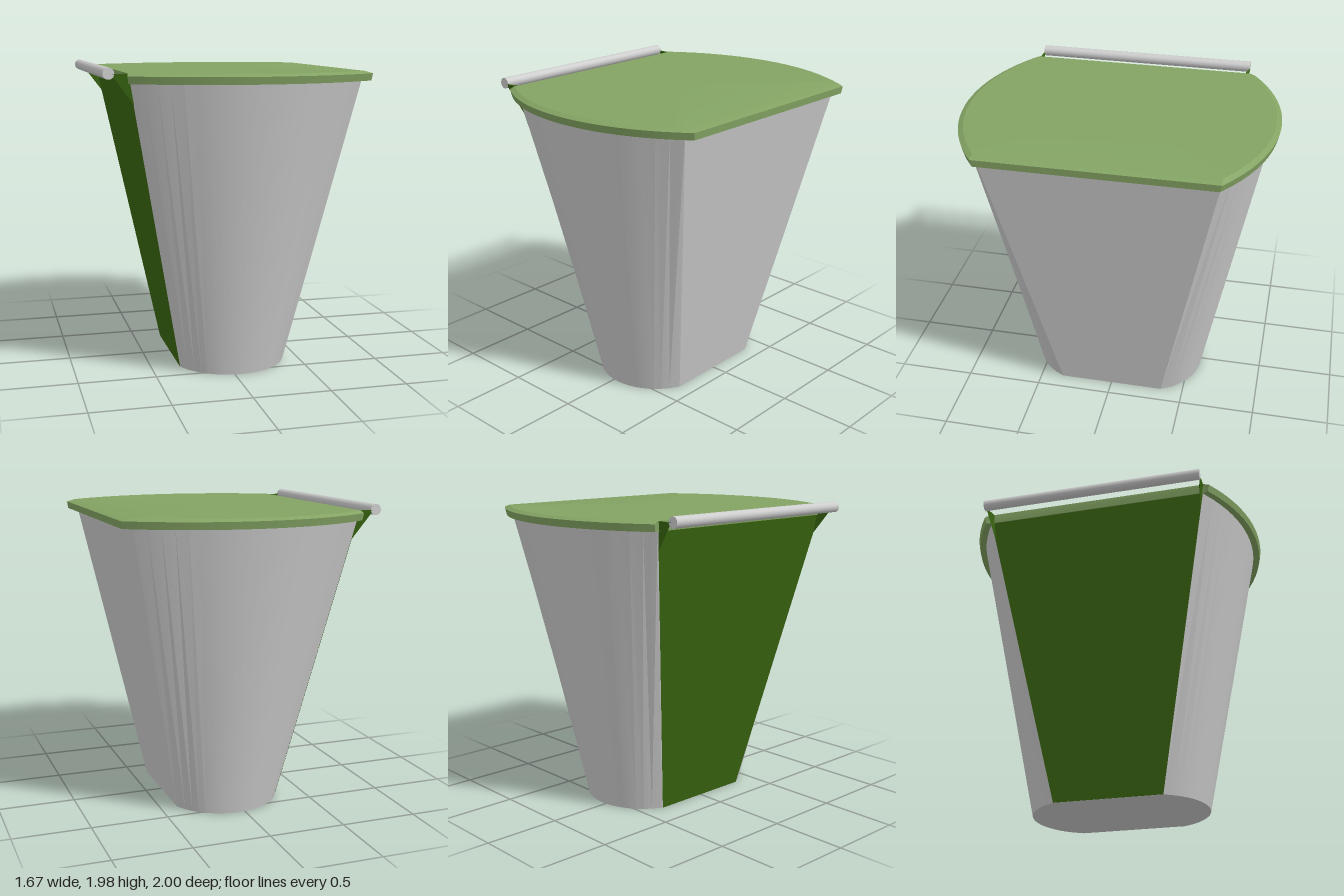
import * as THREE from 'three';
import { toCreasedNormals } from 'three/addons/utils/BufferGeometryUtils.js';
import { ConvexGeometry } from 'three/addons/geometries/ConvexGeometry.js';

const CX = 0.04; // centre line of the bin in x
const SEGS = 20;

// Barrel outline: two bowed sides (+z, -z) joined by straight ends at xR and xL.
// w = half width of the full arc, corner = z at its ends, peak = z at its middle.
function outline(y, w, corner, peak, xL = CX - w, notch = null) {
  const sag = peak - corner;
  const r = (w * w + sag * sag) / (2 * sag);
  const front = [];
  for (let i = 0; i <= SEGS; i++) {
    const x = THREE.MathUtils.lerp(CX + w, xL, i / SEGS);
    front.push(new THREE.Vector3(x, y, peak - r + Math.sqrt(r * r - (x - CX) ** 2)));
  }
  if (notch) front.push(new THREE.Vector3(notch[0], y, notch[1]));
  const back = front.map((p) => new THREE.Vector3(p.x, y, -p.z)).reverse();
  return [...front, ...back];
}

// Closed solid skinned through rings of equal length, from bottom to top.
function loft(rings) {
  const pos = [];
  const tri = (...pts) => pts.forEach((p) => pos.push(p.x, p.y, p.z));
  const n = rings[0].length;
  const low = rings[0], high = rings[rings.length - 1];
  const cLow = new THREE.Vector3(CX, low[0].y, 0);
  const cHigh = new THREE.Vector3(CX, high[0].y, 0);
  for (let i = 0; i < n; i++) {
    const j = (i + 1) % n;
    for (let k = 0; k < rings.length - 1; k++) {
      const a = rings[k], b = rings[k + 1];
      tri(a[j], a[i], b[i]);
      tri(a[j], b[i], b[j]);
    }
    tri(cLow, low[i], low[j]);
    tri(cHigh, high[j], high[i]);
  }
  const g = new THREE.BufferGeometry();
  g.setAttribute('position', new THREE.Float32BufferAttribute(pos, 3));
  return toCreasedNormals(g, 0.3);
}

export function createModel() {
  const group = new THREE.Group();
  const grey = new THREE.MeshStandardMaterial({ color: 0xcccccc });
  const green = new THREE.MeshStandardMaterial({ color: 0x83a363 });
  const darkGreen = new THREE.MeshStandardMaterial({ color: 0x38650f, side: THREE.DoubleSide });
  const add = (name, geometry, material) => {
    const mesh = new THREE.Mesh(geometry, material);
    mesh.name = name;
    group.add(mesh);
    return mesh;
  };

  // Tapered bin body
  add('body', loft([outline(0, 0.35, 0.35, 0.58), outline(1.92, 0.725, 0.73, 0.955)]), grey);

  // Coloured panel covering the flat hinge side
  const panel = new THREE.BufferGeometry();
  panel.setAttribute('position', new THREE.Float32BufferAttribute([
    -0.313, 0, -0.35, -0.313, 0, 0.35, -0.689, 1.925, 0.73, -0.689, 1.925, -0.73,
  ], 3));
  panel.setIndex([0, 1, 2, 0, 2, 3]);
  panel.computeVertexNormals();
  add('sidePanel', panel, darkGreen);

  // Lid with overhanging rim and a shallow bevel, cut flush on the hinge side
  add('lid', loft([
    outline(1.88, 0.785, 0.72, 0.99, -0.695, [-0.685, 0.725]),
    outline(1.925, 0.79, 0.73, 1.0, -0.7, [-0.69, 0.73]),
    outline(1.94, 0.735, 0.73, 0.968, -0.695, [-0.69, 0.72]),
  ]), green);

  // Handle bar along the hinge side
  const bar = add('handleBar', new THREE.CylinderGeometry(0.035, 0.035, 1.45, 16), grey);
  bar.rotation.x = Math.PI / 2;
  bar.position.set(-0.805, 1.94, 0);

  // Wedge brackets carrying the bar
  for (const s of [1, -1]) {
    const corners = [[-0.79, 1.938, 0.725], [-0.65, 1.75, 0.695], [-0.685, 1.938, 0.728], [-0.685, 1.938, 0.7]];
    const points = corners.map(([x, y, z]) => new THREE.Vector3(x, y, s * z));
    add(s > 0 ? 'frontBracket' : 'backBracket', new ConvexGeometry(points), darkGreen);
  }
  return group;
}
